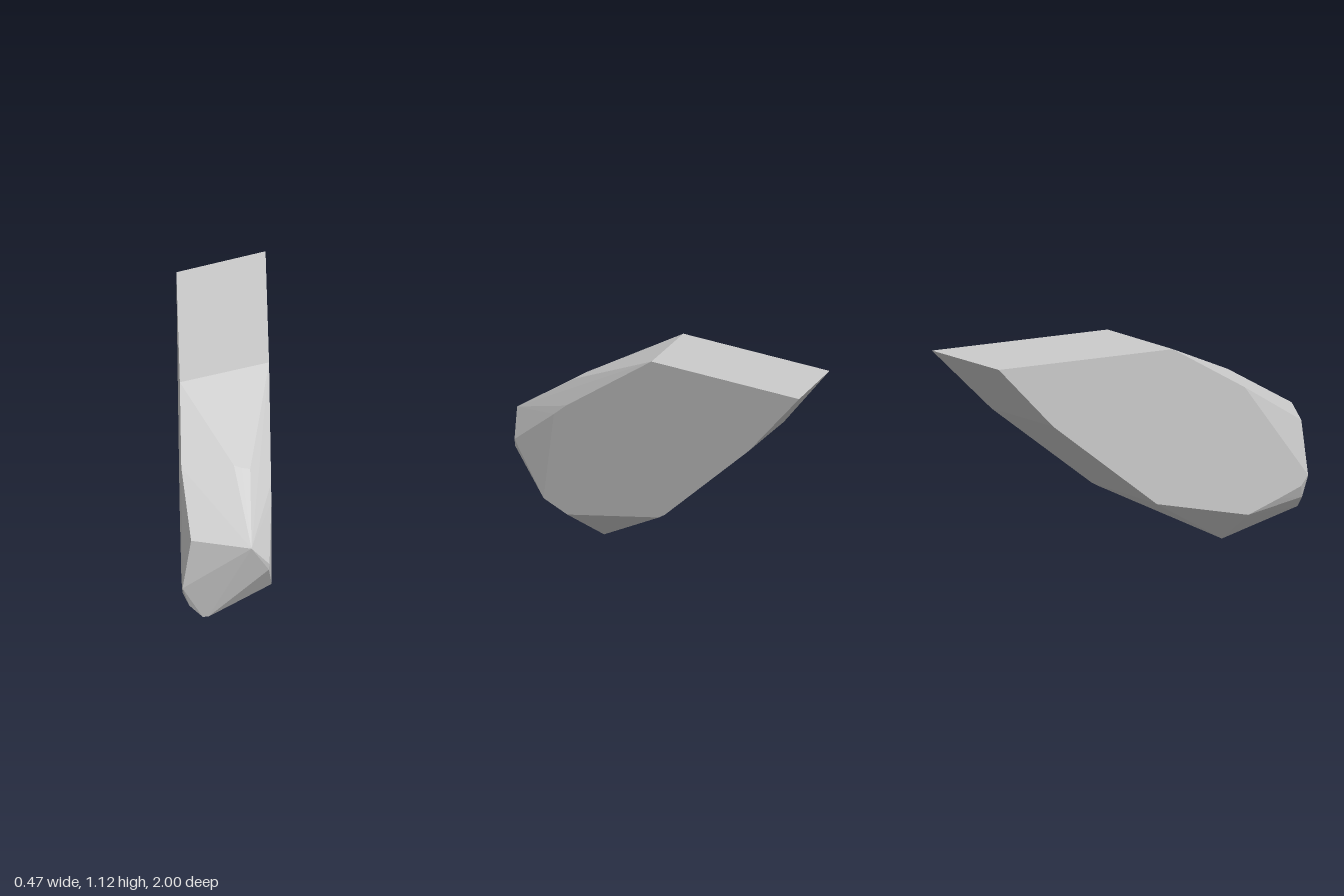
import * as THREE from 'three';
import { ConvexGeometry } from 'three/addons/geometries/ConvexGeometry.js';

const W = 0.235; // half width between the two flat sides

// corners of each flat side as [z, y]
const leftSide = [
  [0, 1.125], [-1, 1.125], [-0.66, 0.77], [-0.09, 0.3], [-0.05, 0.277],
  [0.57, 0.165], [0.73, 0.222], [0.66, 0.7], [0.58, 0.762],
];
const rightSide = [
  [0.17, 1.125], [-0.82, 1.125], [-0.51, 0.78], [0.08, 0.29],
  [0.6, 0.172], [0.77, 0.24], [0.9, 0.295], [0.94, 0.35], [0.58, 0.87],
];
// corners between the sides as [x, y, z]
const nose = [
  [0.125, 0.643, 1], [-0.19, 0.641, 0.92],               // brow edge
  [0.125, 0.877, 0.61], [0.08, 0.884, 0.61], [0.04, 0.894, 0.6], // upper ridge
  [0.22, 0.5, 0.94], [0.217, 0.462, 0.937],              // cheek
  [-0.2, 0.225, 0.92], [-0.13, 0.155, 0.925], [-0.1, 0.155, 0.925], // chin
  [-0.045, 0, 0.53], [-0.02, 0, 0.53],                   // lowest tip
];

export function createModel() {
  const points = [
    ...leftSide.map(([z, y]) => new THREE.Vector3(W, y, z)),
    ...rightSide.map(([z, y]) => new THREE.Vector3(-W, y, z)),
    ...nose.map((p) => new THREE.Vector3(...p)),
  ];
  // faceted stone: the convex shell around all the corners
  const material = new THREE.MeshStandardMaterial({ color: 0xcccccc, flatShading: true });
  const shard = new THREE.Mesh(new ConvexGeometry(points), material);
  shard.name = 'rockShard';
  const group = new THREE.Group();
  group.name = 'rock';
  group.add(shard);
  return group;
}
